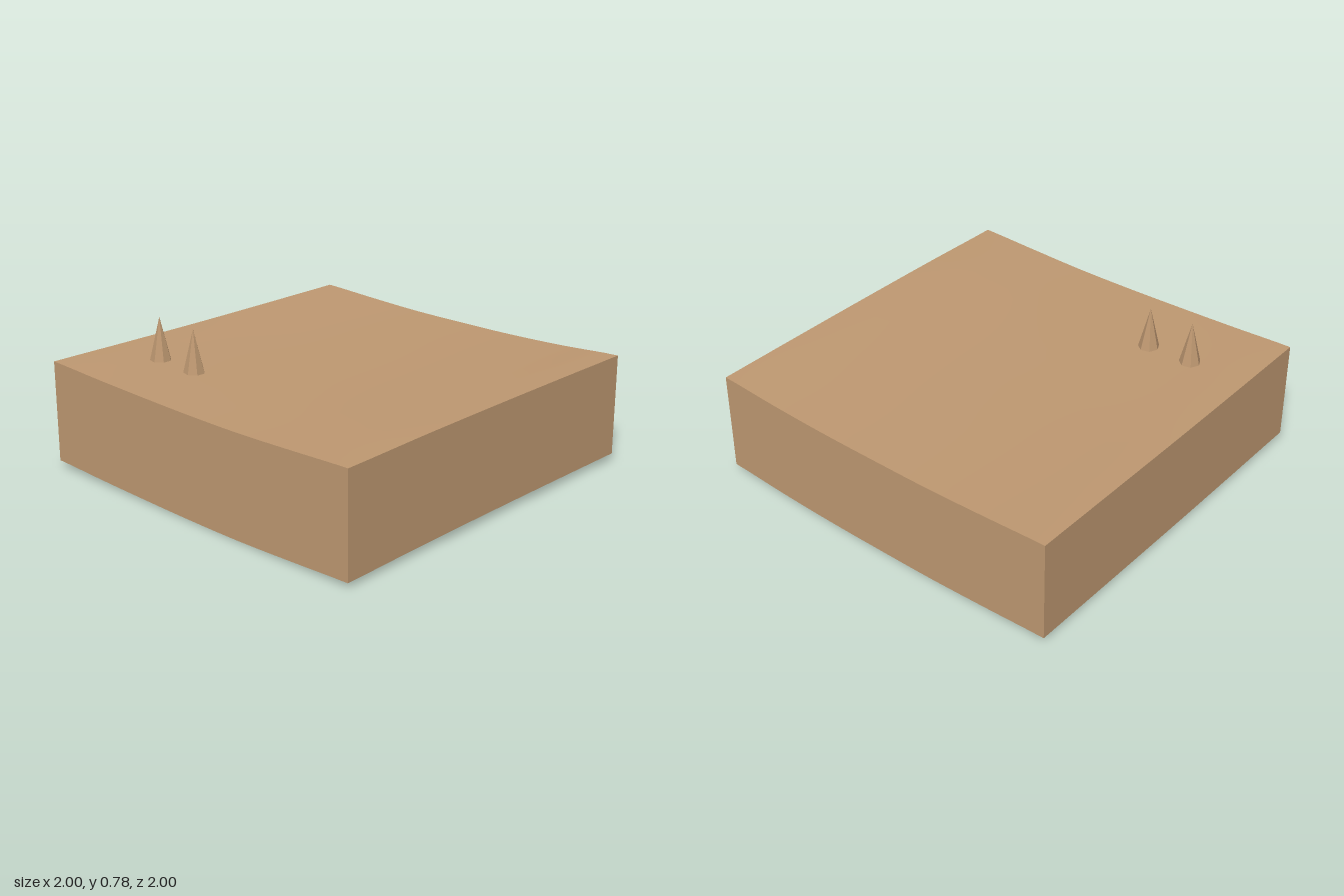
import * as THREE from 'three';

const DEPTH = 0.531; // height of the side walls
const N = 24;        // grid cells per side

// smooth height curve through evenly spaced samples, t in -1..1
function heightCurve(values) {
  const curve = new THREE.SplineCurve(values.map((v, i) => new THREE.Vector2(i, v)));
  return t => curve.getPoint((t + 1) / 2).y;
}

// edge heights, each listed from -1 to 1
const back = heightCurve([0.568, 0.561, 0.556, 0.555, 0.555]);
const front = heightCurve([0.557, 0.566, 0.570, 0.571, 0.570]);
const right = heightCurve([0.555, 0.542, 0.532, 0.532, 0.536, 0.549, 0.570]);
const left = heightCurve([0.568, 0.555, 0.545, 0.538, 0.537, 0.546, 0.557]);

// ground height: the four edge curves blended over the square
function ground(x, z) {
  const u = (x + 1) / 2, v = (z + 1) / 2, mix = THREE.MathUtils.lerp;
  const corners = mix(mix(back(-1), back(1), u), mix(front(-1), front(1), u), v);
  return mix(left(z), right(z), u) + mix(back(x), front(x), v) - corners;
}

// wall along one edge, following the ground at top and bottom
function makeWall(name, material, edge) {
  const geometry = new THREE.PlaneGeometry(2, DEPTH, N, 1);
  const p = geometry.attributes.position;
  for (let i = 0; i < p.count; i++) {
    const [x, z] = edge(p.getX(i));
    p.setXYZ(i, x, ground(x, z) + (p.getY(i) > 0 ? 0 : -DEPTH), z);
  }
  geometry.computeVertexNormals();
  const wall = new THREE.Mesh(geometry, material);
  wall.name = name;
  return wall;
}

export function createModel() {
  const model = new THREE.Group();
  model.name = 'terrainTile';
  const sand = new THREE.MeshStandardMaterial({ color: 0xbe9871, side: THREE.DoubleSide });
  sand.name = 'sand';
  const rock = new THREE.MeshStandardMaterial({ color: 0xbe9871, flatShading: true });
  rock.name = 'sandRock';

  // gently dished top surface
  const topGeometry = new THREE.PlaneGeometry(2, 2, N, N).rotateX(-Math.PI / 2);
  const p = topGeometry.attributes.position;
  for (let i = 0; i < p.count; i++) p.setY(i, ground(p.getX(i), p.getZ(i)));
  topGeometry.computeVertexNormals();
  const top = new THREE.Mesh(topGeometry, sand);
  top.name = 'ground';
  model.add(top);

  // four walls, open underneath
  model.add(
    makeWall('frontWall', sand, t => [t, 1]),
    makeWall('backWall', sand, t => [-t, -1]),
    makeWall('leftWall', sand, t => [1, -t]),
    makeWall('rightWall', sand, t => [-1, t])
  );

  // two seven-sided spikes
  const spikeGeometry = new THREE.ConeGeometry(0.055, 0.225, 7).rotateY(Math.PI);
  [[-0.42, 0.655], [-0.67, 0.665]].forEach(([z, y], i) => {
    const spike = new THREE.Mesh(spikeGeometry, rock);
    spike.name = `spike${i + 1}`;
    spike.position.set(-0.585, y, z);
    model.add(spike);
  });

  return model;
}
